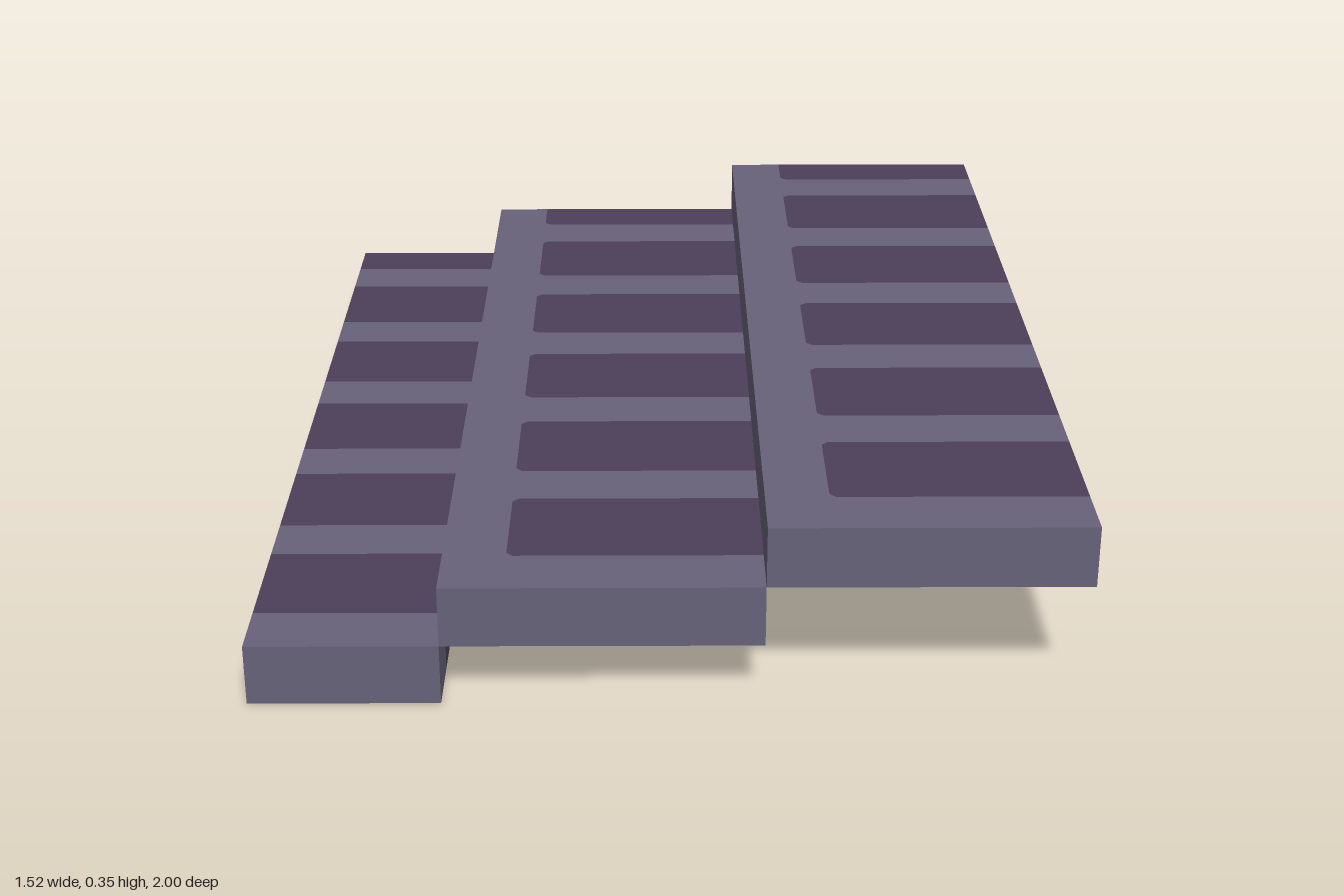
import * as THREE from 'three';

const H = 0.118;        // step height
const SPINE = 0.117;    // plain border along each riser
const CUT = 0.012;      // clipped stone corners

// z ranges of the stones; the row is cut off at the back end
const STONES = [0, 1, 2, 3, 4, 5].map((i) => {
  const end = -0.885 + i * 0.3525;
  return [Math.max(-1, end - 0.232), end];
});

// Upright prism from a plan outline of [x, z] points
function prism(name, points, bottom, material) {
  const shape = new THREE.Shape(points.map(([x, z]) => new THREE.Vector2(x, z)));
  const geometry = new THREE.ExtrudeGeometry(shape, { depth: H, bevelEnabled: false });
  geometry.rotateX(Math.PI / 2).translate(0, bottom + H, 0);
  const mesh = new THREE.Mesh(geometry, material);
  mesh.name = name;
  return mesh;
}

// Inner end of a stone, listed from back to front
function stoneEnd(x, [z0, z1]) {
  const back = z0 <= -1 ? [[x, z0]] : [[x + CUT, z0], [x, z0 + CUT]];
  return [...back, [x, z1 - CUT], [x + CUT, z1]];
}

const rect = (x0, x1, z0, z1) => [[x0, z0], [x1, z0], [x1, z1], [x0, z1]];

export function createModel() {
  const mortar = new THREE.MeshStandardMaterial({ color: 0x676279 });
  mortar.name = 'mortar grey';
  const stone = new THREE.MeshStandardMaterial({ color: 0x4b4058 });
  stone.name = 'stone purple';

  const model = new THREE.Group();
  model.name = 'steps';

  // Lowest step: stones and mortar run right across
  const low = new THREE.Group();
  low.name = 'lowerStep';
  STONES.forEach(([z0, z1], i) => {
    const next = i < STONES.length - 1 ? STONES[i + 1][0] : 1;
    low.add(prism('stone', rect(-0.762, -0.41, z0, z1), 0, stone));
    low.add(prism('mortarBar', rect(-0.762, -0.41, z1, next), 0, mortar));
  });
  model.add(low);

  // Middle and upper steps: a mortar comb with stones set between its teeth
  [['middleStep', -0.41, 0.176, H], ['upperStep', 0.176, 0.762, 2 * H]].forEach(([name, x0, x1, y]) => {
    const step = new THREE.Group();
    step.name = name;
    const inner = x0 + SPINE;
    const comb = [[x0, -1]];
    for (const range of STONES) {
      const end = stoneEnd(inner, range);
      if (range[0] > -1) comb.push([x1, range[0]]);
      comb.push(...end, [x1, range[1]]);
      step.add(prism('stone', [...end, [x1, range[1]], [x1, range[0]]], y, stone));
    }
    comb.push([x1, 1], [x0, 1]);
    step.add(prism('mortarComb', comb, y, mortar));
    model.add(step);
  });

  return model;
}
